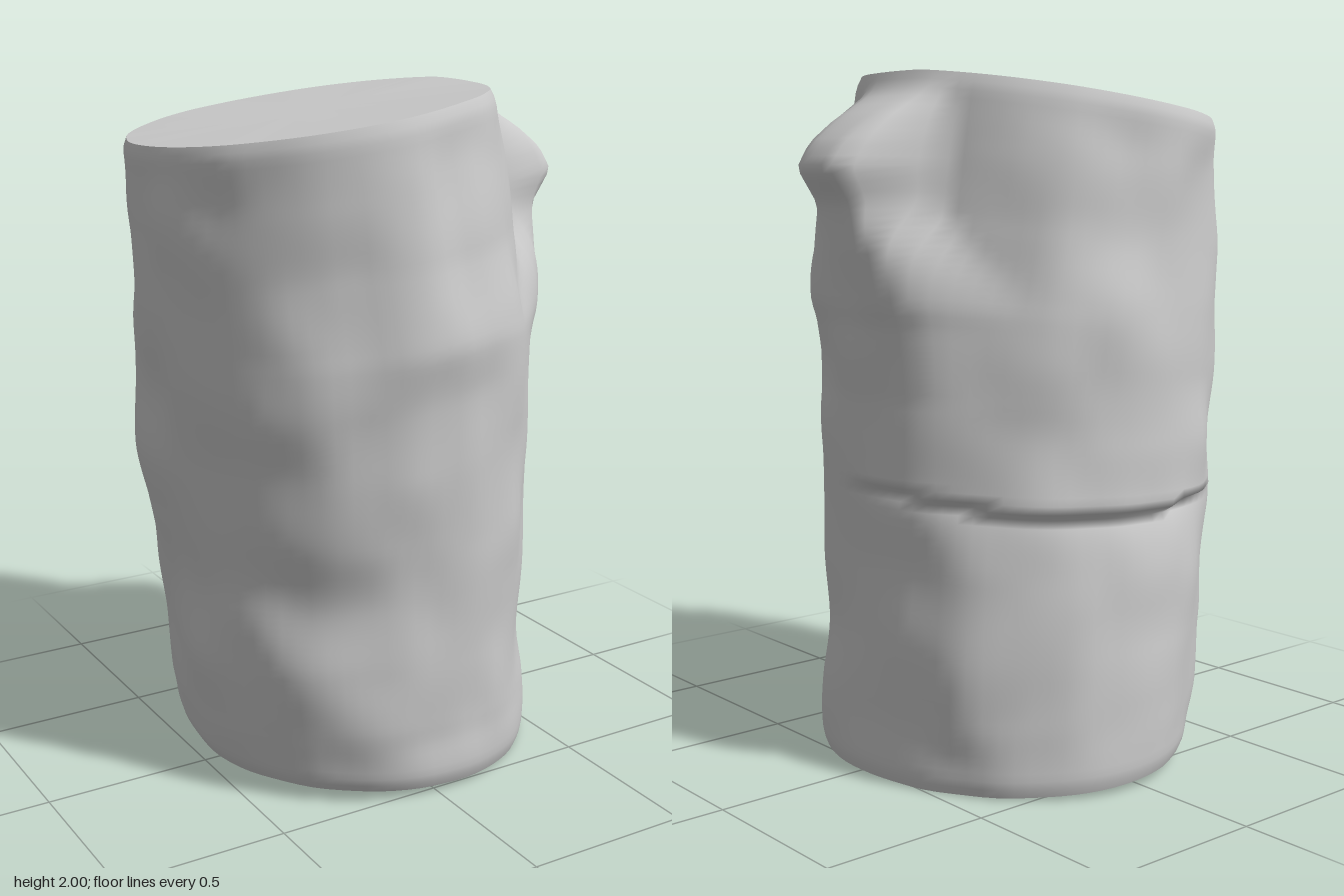
import * as THREE from 'three';

const SIDES = 80, RINGS = 84;
const clamp = THREE.MathUtils.clamp, step = THREE.MathUtils.smoothstep;

// Linear interpolation through [height, value] pairs
function profile(points, y) {
  for (let i = 1; i < points.length; i++) {
    const [y0, v0] = points[i - 1], [y1, v1] = points[i];
    if (y <= y1) return v0 + (v1 - v0) * clamp((y - y0) / (y1 - y0), 0, 1);
  }
  return points[points.length - 1][1];
}

// How far the trunk reaches to each side at each height
const RIGHT = [[0, 0.545], [0.75, 0.52], [1.1, 0.52], [1.35, 0.5], [1.6, 0.44], [2, 0.375]];
const LEFT = [[0, 0.5], [0.15, 0.53], [0.4, 0.555], [1, 0.6], [1.5, 0.625], [2, 0.645]];
const FRONT = [[0, 0.54], [0.2, 0.565], [0.6, 0.58], [1, 0.6], [1.35, 0.615], [1.6, 0.59], [2, 0.575]];
const BACK = [[0, 0.625], [0.5, 0.61], [1, 0.6], [1.6, 0.585], [2, 0.57]];
// Outward push of the cut branch stub
const STUB = [[1.1, 0], [1.3, 0.045], [1.5, 0.13], [1.64, 0.18], [1.73, 0.25], [1.8, 0.21], [1.87, 0.13], [1.93, 0.03], [1.96, 0]];

function hash(i, j) {
  const s = Math.sin(i * 127.1 + j * 311.7) * 43758.5453;
  return (s - Math.floor(s)) * 2 - 1;
}

// Smooth noise that wraps around the trunk; u and v in 0..1
function noise(u, v, nu, nv, seed) {
  const a = u * nu, b = v * nv, i = Math.floor(a), j = Math.floor(b);
  const f = step(a - i, 0, 1), g = step(b - j, 0, 1);
  const at = (p, q) => hash((p % nu) + seed, q + seed * 3);
  return THREE.MathUtils.lerp(
    THREE.MathUtils.lerp(at(i, j), at(i + 1, j), f),
    THREE.MathUtils.lerp(at(i, j + 1), at(i + 1, j + 1), f), g);
}

// Surface point of the log
function barkPoint(u, v) {
  const angle = u * Math.PI * 2, c = Math.cos(angle), s = Math.sin(angle), h = v * 2;
  const r = profile(RIGHT, h), l = profile(LEFT, h);
  let x = (r - l) / 2 + c * (r + l) / 2;
  let z = s * profile(s > 0 ? FRONT : BACK, h);

  // Slanted cuts at both ends
  const top = Math.min(2, 1.862 + 0.14 * (x + 0.64) + 0.05 * z);
  const bottom = Math.max(0, 0.045 - 0.045 * (x + 0.5));
  const y = bottom + (top - bottom) * v;

  // Bark lumps, stretched along the grain and fading at the ends
  const fade = 0.35 + 0.65 * step(v, 0, 0.08) * (1 - step(v, 0.92, 1));
  let push = fade * (0.017 * noise(u, v, 11, 6, 1) + 0.013 * noise(u, v, 19, 10, 5) + 0.008 * noise(u, v, 32, 8, 9));

  // Overhanging crack across the right and back
  const d = y - (0.845 + 0.1 * Math.min(z, 0.1) + 0.012 * noise(u, 0.3, 16, 1, 4));
  const reach = (1 - step(z, -0.1, 0.12)) * step(x, -0.45, -0.2);
  if (d > 0) push += reach * 0.022 * Math.exp(-d / 0.12) * step(d, -0.02, 0.02);
  else push -= reach * 0.035 * Math.exp(d / 0.06);

  // Rounded rims
  push -= 0.012 * step(v, 0.982, 1) + 0.012 * (1 - step(v, 0, 0.018));
  x += c * push;
  z += s * push;

  // Branch stub, widening into the trunk below
  if (c > 0) {
    const width = 0.16 + 0.1 * (1 - step(y, 1.3, 1.68));
    const soft = 0.07 + 0.16 * (1 - step(y, 1.3, 1.65));
    const across = 1 - step(Math.abs(z - 0.02), width - soft * 0.3, width + soft);
    x += profile(STUB, y) * across * (1 - 0.18 * clamp((z + 0.07) / 0.25, 0, 1));
  }
  return [x, y, z];
}

function makeGeometry(positions, index) {
  const g = new THREE.BufferGeometry();
  g.setAttribute('position', new THREE.Float32BufferAttribute(positions, 3));
  g.setIndex(index);
  g.computeVertexNormals();
  return g;
}

function barkGeometry() {
  const positions = [], index = [];
  for (let j = 0; j <= RINGS; j++)
    for (let i = 0; i < SIDES; i++) positions.push(...barkPoint(i / SIDES, j / RINGS));
  for (let j = 0; j < RINGS; j++)
    for (let i = 0; i < SIDES; i++) {
      const k = (i + 1) % SIDES, a = j * SIDES + i, b = j * SIDES + k;
      index.push(a, a + SIDES, b, b, a + SIDES, b + SIDES);
    }
  return makeGeometry(positions, index);
}

// Flat sawn face closing one end
function cutGeometry(v) {
  const positions = [], index = [], middle = [0, 0, 0];
  for (let i = 0; i < SIDES; i++) {
    const p = barkPoint(i / SIDES, v);
    positions.push(...p);
    p.forEach((n, k) => { middle[k] += n / SIDES; });
  }
  positions.push(...middle);
  for (let i = 0; i < SIDES; i++) {
    const k = (i + 1) % SIDES;
    if (v > 0.5) index.push(SIDES, k, i);
    else index.push(SIDES, i, k);
  }
  return makeGeometry(positions, index);
}

export function createModel() {
  const group = new THREE.Group();
  group.name = 'log';
  const material = new THREE.MeshStandardMaterial({ color: 0xcccccc });
  const add = (name, geometry) => {
    const mesh = new THREE.Mesh(geometry, material);
    mesh.name = name;
    group.add(mesh);
  };
  add('barkWithBranchStub', barkGeometry());
  add('topCut', cutGeometry(1));
  add('bottomCut', cutGeometry(0));
  return group;
}
